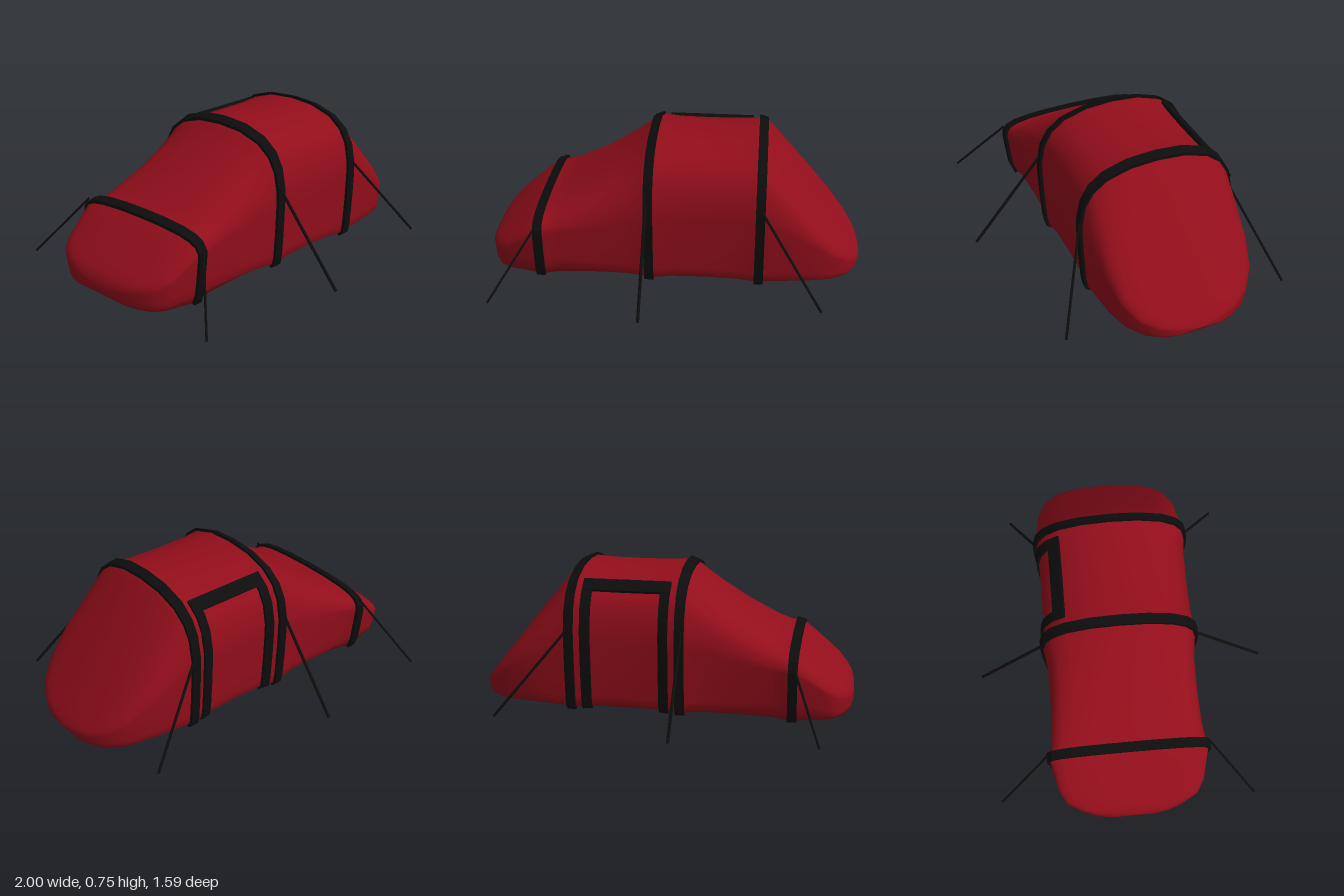
import * as THREE from 'three';
import { toCreasedNormals } from 'three/addons/utils/BufferGeometryUtils.js';

const red = new THREE.MeshStandardMaterial({ color: 0x930e1b });
const black = new THREE.MeshStandardMaterial({ color: 0x0d0d0d });
const Z0 = -0.008; // slight sideways offset of the fabric

// Half arch from the ground edge to the ridge: [share of half width, share of height]
const half = [[0.89, 0], [0.94, 0.02], [0.96, 0.09], [0.985, 0.3], [1, 0.5], [1, 0.6],
  [0.95, 0.75], [0.85, 0.85], [0.67, 0.93], [0.36, 0.985], [0, 1]];
const arch = [...half, ...half.slice(0, -1).reverse().map(([u, v]) => [-u, v])];
const LAST = arch.length - 1;

// Stations along the tent: x, half width, bottom, top, boxiness exponent
const stations = [
  [-1, 0, 0.08, 0.08, 0.6], [-0.998, 0.12, 0.06, 0.11, 0.6], [-0.985, 0.2, 0.045, 0.145, 0.6],
  [-0.96, 0.275, 0.035, 0.172, 0.6], [-0.92, 0.35, 0.03, 0.208, 0.6], [-0.86, 0.387, 0.028, 0.258, 0.57],
  [-0.78, 0.405, 0.027, 0.325, 0.52], [-0.72, 0.42, 0.024, 0.37, 0.47], [-0.69, 0.428, 0.02, 0.382, 0.45],
  [-0.65, 0.41, 0.022, 0.39, 0.5], [-0.58, 0.4, 0.028, 0.425, 0.6], [-0.4, 0.392, 0.03, 0.53, 0.8],
  [-0.25, 0.392, 0.03, 0.635, 0.93], [-0.16, 0.402, 0.025, 0.705, 1], [-0.12, 0.412, 0.02, 0.745, 1],
  [-0.08, 0.407, 0.022, 0.742, 1], [0, 0.398, 0.028, 0.736, 1], [0.17, 0.395, 0.03, 0.734, 1],
  [0.34, 0.398, 0.028, 0.736, 1], [0.42, 0.406, 0.023, 0.741, 1], [0.46, 0.412, 0.02, 0.745, 1],
  [0.5, 0.406, 0.025, 0.71, 1], [0.6, 0.4, 0.03, 0.585, 0.92], [0.72, 0.388, 0.032, 0.435, 0.8],
  [0.84, 0.352, 0.03, 0.28, 0.7], [0.92, 0.29, 0.03, 0.178, 0.65], [0.97, 0.2, 0.032, 0.115, 0.6],
  [0.99, 0.12, 0.037, 0.085, 0.6], [1, 0, 0.055, 0.055, 0.6]];

function stationAt(x) {
  let i = 0;
  while (i < stations.length - 2 && stations[i + 1][0] < x) i++;
  const a = stations[i], b = stations[i + 1], f = (x - a[0]) / (b[0] - a[0]);
  return a.map((v, k) => v + (b[k] - v) * f);
}

function archPoint([x, w, y0, y1, k], u, v) {
  return new THREE.Vector3(x, y0 + (y1 - y0) * Math.pow(v, k), Z0 + u * w);
}

// Point on the tent skin at x; s runs along the arch from the front edge to the back edge
function skin(x, s) {
  const st = stationAt(x), i = Math.min(Math.floor(s), LAST - 1);
  return archPoint(st, ...arch[i]).lerp(archPoint(st, ...arch[i + 1]), s - i);
}

function raisedSkin(x, s, h) {
  const t = skin(x, Math.min(s + 0.5, LAST)).sub(skin(x, Math.max(s - 0.5, 0))).normalize();
  return skin(x, s).add(new THREE.Vector3(0, -t.z, t.y).multiplyScalar(h));
}

// Joins closed rings of equal point counts
function loft(rings) {
  const n = rings[0].length, index = [];
  for (let i = 0; i < rings.length - 1; i++) {
    for (let j = 0; j < n; j++) {
      const a = i * n + j, b = i * n + (j + 1) % n;
      index.push(a, a + n, b, b, a + n, b + n);
    }
  }
  const g = new THREE.BufferGeometry().setFromPoints(rings.flat());
  g.setIndex(index);
  g.computeVertexNormals();
  return g;
}

// Raised band lying on the skin between x0..x1 and s0..s1
function band(x0, x1, s0, s1, height = 0.013) {
  const rings = [], steps = Math.max(2, Math.ceil(s1 - s0));
  for (let i = 0; i <= steps; i++) {
    const s = s0 + (s1 - s0) * i / steps;
    rings.push([raisedSkin(x1, s, height), raisedSkin(x0, s, height),
      raisedSkin(x0, s, -0.008), raisedSkin(x1, s, -0.008)]);
  }
  const cap = (ring) => {
    const c = ring.reduce((m, p) => m.add(p), new THREE.Vector3()).divideScalar(4);
    return ring.map(() => c.clone());
  };
  rings.unshift(cap(rings[0]));
  rings.push(cap(rings[rings.length - 1]));
  return toCreasedNormals(loft(rings), 0.5);
}

function rope(from, to, radius) {
  const a = new THREE.Vector3(...from), b = new THREE.Vector3(...to);
  return new THREE.TubeGeometry(new THREE.LineCurve3(a, b), 1, radius, 8);
}

export function createModel() {
  const tent = new THREE.Group();
  tent.name = 'tent';
  const add = (name, geometry, material, parent = tent) => {
    const mesh = new THREE.Mesh(geometry, material);
    mesh.name = name;
    parent.add(mesh);
  };
  const group = (name) => {
    const g = new THREE.Group();
    g.name = name;
    tent.add(g);
    return g;
  };

  // Fabric shell with a closed floor
  const ringShape = [...arch, [-0.5, 0], [0, 0], [0.5, 0]];
  add('fabricShell', loft(stations.map((st) => ringShape.map(([u, v]) => archPoint(st, u, v)))), red);

  // Pole sleeves over the three arches
  const sleeves = group('poleSleeves');
  [-0.695, -0.118, 0.458].forEach((x, i) =>
    add('poleSleeve' + (i + 1), band(x - 0.024, x + 0.024, 0, LAST, 0.016), black, sleeves));

  // Door outline on the back side
  const door = group('doorFrame');
  add('doorTop', band(-0.058, 0.4, 12.05, 12.8), black, door);
  add('doorRightEdge', band(-0.058, -0.008, 12.05, LAST), black, door);
  add('doorLeftEdge', band(0.348, 0.4, 12.05, LAST), black, door);

  // Guy ropes from the sleeves to the ground
  const ropes = group('guyRopes');
  [[[0.46, 0.47, 0.405], [0.78, 0.018, 0.615], 0.007],
    [[0.46, 0.46, -0.42], [0.82, 0.018, -0.58], 0.007],
    [[-0.128, 0.47, 0.41], [-0.128, 0.018, 0.79], 0.008],
    [[-0.128, 0.47, -0.42], [-0.128, 0.018, -0.79], 0.008],
    [[-0.69, 0.35, 0.42], [-0.918, 0.01, 0.665], 0.006],
    [[-0.69, 0.35, -0.43], [-0.85, 0.01, -0.715], 0.006],
  ].forEach(([a, b, r], i) => add('guyRope' + (i + 1), rope(a, b, r), black, ropes));

  return tent;
}
